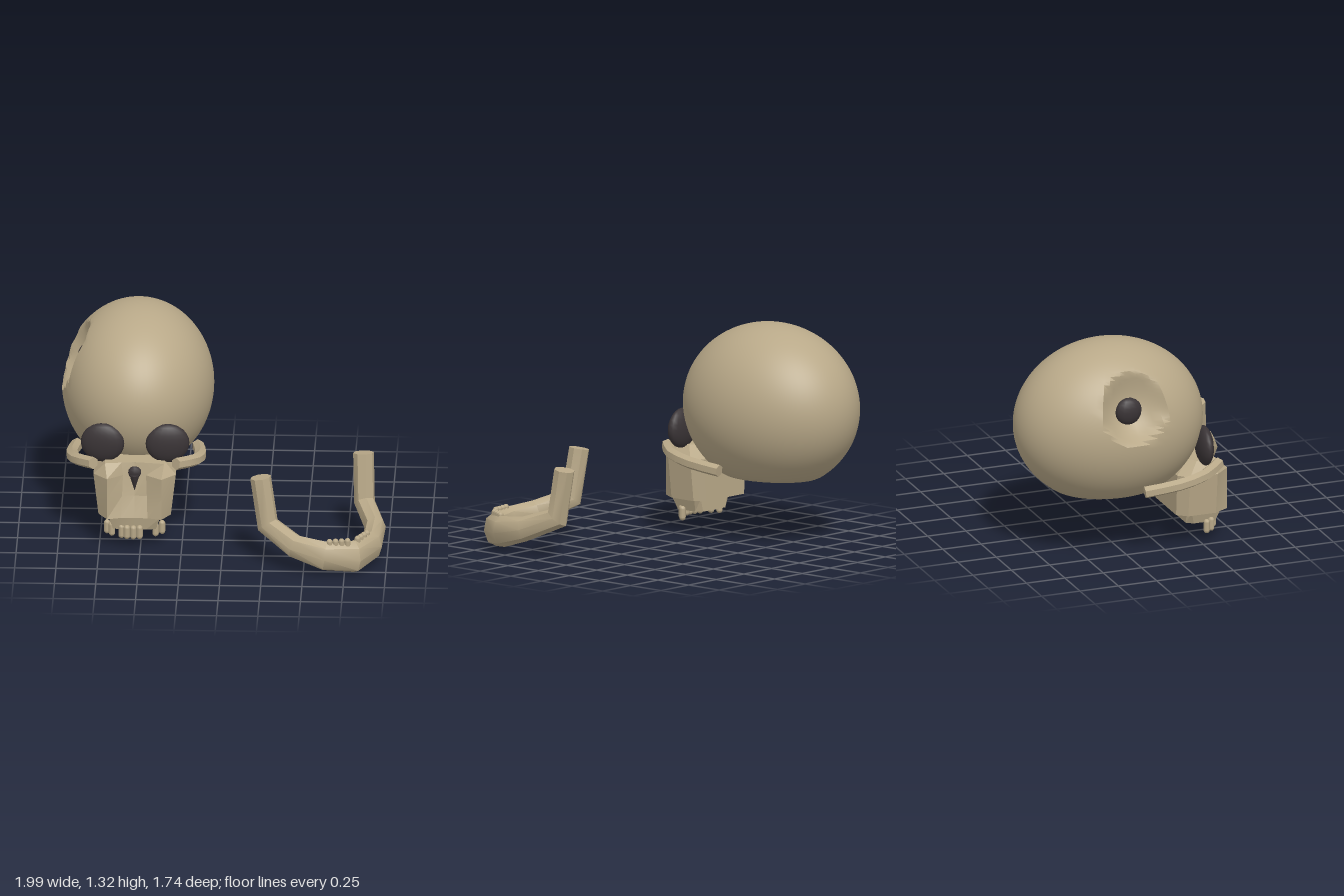
import * as THREE from 'three';
import { mergeVertices, toCreasedNormals } from 'three/addons/utils/BufferGeometryUtils.js';

const bone = new THREE.MeshStandardMaterial({ color: 0xb8a888 });
bone.name = 'bone';
const dark = new THREE.MeshStandardMaterial({ color: 0x3a3436 });
dark.name = 'dark hollow';
const V = (x, y, z) => new THREE.Vector3(x, y, z);

function add(parent, name, geometry, material, pos = [0, 0, 0]) {
  const mesh = new THREE.Mesh(geometry, material);
  mesh.name = name;
  mesh.position.set(...pos);
  parent.add(mesh);
  return mesh;
}

// Skin a stack of equal-length rings and close both ends
function loft(rings, crease) {
  const n = rings[0].length, pos = [], index = [];
  rings.forEach(r => r.forEach(p => pos.push(p.x, p.y, p.z)));
  for (let i = 0; i < rings.length - 1; i++) {
    for (let j = 0; j < n; j++) {
      const a = i * n + j, b = i * n + (j + 1) % n;
      index.push(a, b, b + n, a, b + n, a + n);
    }
  }
  [0, rings.length - 1].forEach((k, end) => {
    const c = V(0, 0, 0);
    rings[k].forEach(p => c.addScaledVector(p, 1 / n));
    const ci = pos.push(c.x, c.y, c.z) / 3 - 1;
    for (let j = 0; j < n; j++) {
      const a = k * n + j, b = k * n + (j + 1) % n;
      index.push(ci, ...(end ? [a, b] : [b, a]));
    }
  });
  const g = new THREE.BufferGeometry();
  g.setAttribute('position', new THREE.Float32BufferAttribute(pos, 3));
  g.setIndex(index);
  return toCreasedNormals(g, crease);
}

// Mitred rings along a path; heights stretch a ring in y
function sweep(path, radius, sides, heights = []) {
  const dir = i => path[i + 1].clone().sub(path[i]).normalize();
  const last = path.length - 1, t = dir(0);
  const u = V(1, 0, 0).addScaledVector(t, -t.x).normalize();
  const v = t.clone().cross(u);
  const rings = [[]];
  for (let j = 0; j < sides; j++) {
    const a = (j + 0.5) / sides * Math.PI * 2;
    rings[0].push(path[0].clone().addScaledVector(u, radius * Math.cos(a)).addScaledVector(v, radius * Math.sin(a)));
  }
  for (let i = 1; i <= last; i++) {
    const d = dir(i - 1), normal = d.clone();
    if (i < last) normal.add(dir(i)).normalize();
    const k = (heights[i] ?? 1) / (heights[i - 1] ?? 1);
    rings.push(rings[i - 1].map(p => {
      const q = p.clone().addScaledVector(d, path[i].clone().sub(p).dot(normal) / d.dot(normal));
      q.y = path[i].y + (q.y - path[i].y) * k;
      return q;
    }));
  }
  return rings;
}

// Egg-shaped braincase with a flat base and a dent in its right side
function craniumGeometry() {
  let g = new THREE.SphereGeometry(1, 72, 56);
  g.deleteAttribute('uv');
  g.deleteAttribute('normal');
  g.scale(0.4615, 0.51, 0.592);
  g.translate(0, 0.815, -0.288);
  g = mergeVertices(g, 1e-5);
  const p = g.attributes.position;
  for (let i = 0; i < p.count; i++) {
    const d = Math.hypot(p.getY(i) - 1.0, p.getZ(i) + 0.27) / 0.21;
    if (p.getX(i) < 0 && d < 1) {
      const push = 0.15 * (1 - d * d);
      p.setX(i, p.getX(i) + push * 0.94);
      p.setY(i, p.getY(i) - push * 0.33);
    }
    p.setY(i, Math.max(p.getY(i), 0.387));
  }
  return toCreasedNormals(g, 0.6);
}

// Faceted upper jaw: half outlines [x, z] from the front centre to the back
function maxillaGeometry() {
  const layers = [
    [0.115, [[0, 0.37], [0.07, 0.37], [0.13, 0.36], [0.13, 0.31], [0.13, 0.22], [0.1, 0.18]]],
    [0.195, [[0, 0.385], [0.08, 0.385], [0.155, 0.385], [0.155, 0.33], [0.155, 0.2], [0.12, 0.18]]],
    [0.2, [[0, 0.4], [0.08, 0.4], [0.165, 0.425], [0.22, 0.33], [0.22, 0.15], [0.17, 0.09]]],
    [0.33, [[0, 0.355], [0.075, 0.365], [0.165, 0.425], [0.235, 0.33], [0.235, 0.15], [0.18, 0.09]]],
    [0.46, [[0, 0.335], [0.07, 0.35], [0.165, 0.425], [0.25, 0.33], [0.25, 0.15], [0.19, 0.09]]],
    [0.535, [[0, 0.325], [0.08, 0.335], [0.18, 0.35], [0.18, 0.3], [0.18, 0.22], [0.12, 0.18]]],
  ];
  return loft(layers.map(([y, half]) => [
    ...half.map(([x, z]) => V(x, y, z)),
    ...half.slice(1).reverse().map(([x, z]) => V(-x, y, z)),
  ]), 0.2);
}

function buildSkull() {
  const skull = new THREE.Group();
  skull.name = 'skull';
  skull.position.x = -0.537;
  add(skull, 'cranium', craniumGeometry(), bone);
  add(skull, 'sideHollow', new THREE.SphereGeometry(1, 12, 10), dark, [-0.323, 0.97, -0.28]).scale.set(0.045, 0.085, 0.085);
  add(skull, 'upperJaw', maxillaGeometry(), bone);

  for (const s of [-1, 1]) {
    const eye = add(skull, s < 0 ? 'rightEyeSocket' : 'leftEyeSocket',
      new THREE.SphereGeometry(1, 16, 12), dark, [s * 0.197, 0.637, 0.262]);
    eye.scale.set(0.133, 0.123, 0.05);
    eye.rotation.y = s * 0.1;
    // Cheekbone bar sweeping back along the side of the head
    const curve = new THREE.CatmullRomCurve3([
      V(s * 0.25, 0.53, 0.335), V(s * 0.36, 0.505, 0.2), V(s * 0.39, 0.475, 0.02), V(s * 0.365, 0.448, -0.19)]);
    add(skull, s < 0 ? 'rightCheekbone' : 'leftCheekbone', loft(sweep(curve.getPoints(6), 0.038, 6), 0.6), bone);
  }

  // Nose opening: round top and a tapering lower part
  add(skull, 'noseTop', new THREE.SphereGeometry(1, 8, 6), dark, [0, 0.472, 0.335]).scale.set(0.044, 0.04, 0.025);
  const noseTip = add(skull, 'noseTip', new THREE.ConeGeometry(0.03, 0.1, 8), dark, [0, 0.41, 0.35]);
  noseTip.rotation.x = Math.PI;

  // Upper teeth with gaps
  const teeth = [[-0.168, 0.29], [-0.138, 0.33], [-0.078, 0.365], [-0.045, 0.38],
    [-0.006, 0.385], [0.032, 0.38], [0.127, 0.33], [0.165, 0.29]];
  teeth.forEach(([x, z]) =>
    add(skull, 'upperTooth', new THREE.CapsuleGeometry(0.02, 0.05, 3, 8), bone, [x, 0.102, z]));
  return skull;
}

function buildJaw() {
  const jaw = new THREE.Group();
  jaw.name = 'lowerJaw';
  jaw.position.set(0.54, 0, 0.37);
  jaw.rotation.y = 0.614;

  // Upright branch, corner, then the curve to the chin; mirrored for the other side
  const half = [V(-0.373, 0.55, 0), V(-0.35, 0.25, 0.045), V(-0.29, 0.165, 0.255), V(-0.17, 0.125, 0.4), V(0, 0.108, 0.468)];
  const flip = p => V(-p.x, p.y, p.z);
  const path = [...half, ...half.slice(0, -1).reverse().map(flip)];
  const rings = sweep(path, 0.064, 8, [1, 1, 1.2, 1.5, 1.65]).slice(0, 5);
  const all = [...rings, ...rings.slice(0, -1).reverse().map(r => r.map(flip))];
  add(jaw, 'jawBone', loft(all, 0.75), bone);

  // Two short rows of lower teeth
  for (const s of [-1, 1]) {
    for (let i = 0; i < 4; i++) {
      add(jaw, 'lowerTooth', new THREE.CapsuleGeometry(0.019, 0.03, 3, 8), bone,
        [s * (0.036 + 0.033 * i) - 0.013, 0.203, 0.468 - 0.016 * i]);
    }
  }
  return jaw;
}

export function createModel() {
  const model = new THREE.Group();
  model.name = 'skullWithJaw';
  model.add(buildSkull(), buildJaw());
  return model;
}
